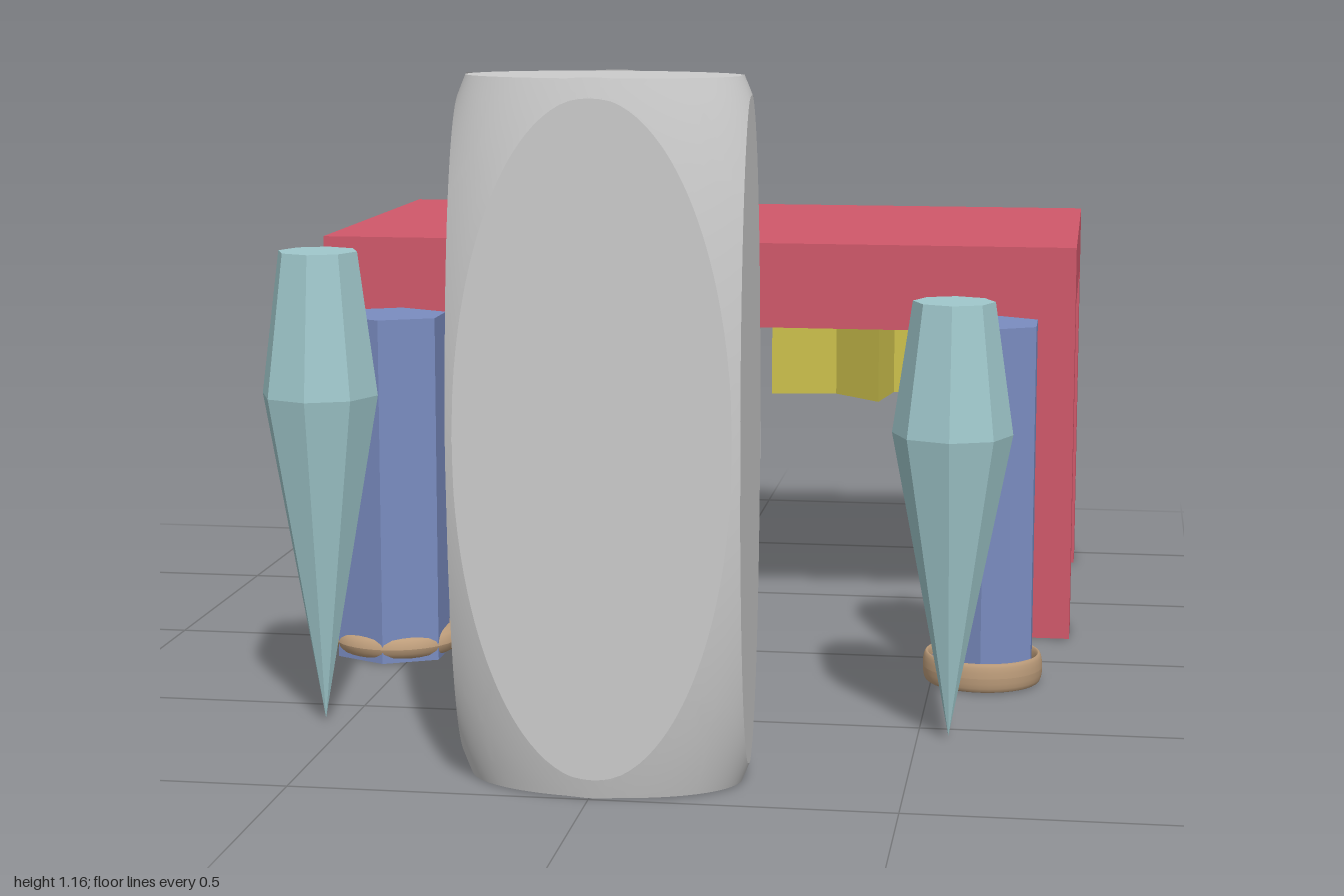
import * as THREE from 'three';
import { toCreasedNormals } from 'three/addons/utils/BufferGeometryUtils.js';

const mat = (color, flatShading = true) => new THREE.MeshStandardMaterial({ color, flatShading });
const RED = mat(0xd0586a), BLUE = mat(0x7a8cc0), TEAL = mat(0xa0c8cc), YELLOW = mat(0xccc04c);
const BROWN = mat(0xbc9c7a, false), GREY = mat(0xcccccc, false);

function add(parent, name, geometry, material, x = 0, y = 0, z = 0) {
  const mesh = new THREE.Mesh(geometry, material);
  mesh.name = name;
  mesh.position.set(x, y, z);
  parent.add(mesh);
  return mesh;
}

// Sphere clipped by a cube: six flat discs joined by a rounded skin, then stretched
function stoneGeometry(sx, sy, sz) {
  const RHO = 1.38, DISC = Math.sqrt(RHO * RHO - 1), RIM = 14 / 16;
  const geo = new THREE.BoxGeometry(2, 2, 2, 32, 32, 32);
  const pos = geo.attributes.position, nor = geo.attributes.normal;
  const p = new THREE.Vector3(), n = new THREE.Vector3(), flat = new THREE.Vector3();
  for (let i = 0; i < pos.count; i++) {
    p.fromBufferAttribute(pos, i);
    n.fromBufferAttribute(nor, i);
    flat.copy(p).sub(n); // offset inside the face
    const m = Math.max(Math.abs(flat.x), Math.abs(flat.y), Math.abs(flat.z));
    if (m > 1e-6) {
      flat.setLength(DISC * Math.min(1, m / RIM)).add(n);
      if (m > RIM + 1e-4) {
        p.setLength(RHO);
        flat.lerp(p, (m - RIM) / (1 - RIM)).setLength(RHO);
      }
    } else flat.copy(n);
    pos.setXYZ(i, flat.x, flat.y, flat.z);
  }
  return toCreasedNormals(geo, 0.4).scale(sx, sy, sz);
}

// Ring with an elliptical section
function ringGeometry(radius, halfWidth, halfHeight) {
  const pts = [];
  for (let i = 0; i <= 16; i++) {
    const a = (i / 16) * Math.PI * 2;
    pts.push(new THREE.Vector2(radius + halfWidth * Math.cos(a), halfHeight * Math.sin(a)));
  }
  return new THREE.LatheGeometry(pts, 40);
}

// Eight-sided spike standing on its tip
function crystalGeometry(mid, top) {
  const pts = [[0, 0.005], [0.103, mid], [0.07, top], [0, top]];
  return new THREE.LatheGeometry(pts.map(([r, y]) => new THREE.Vector2(r, y)), 8);
}

function starGeometry(outer, inner, depth) {
  const shape = new THREE.Shape();
  for (let i = 0; i < 10; i++) {
    const r = i % 2 ? inner : outer, a = (i * Math.PI) / 5;
    if (i) shape.lineTo(r * Math.cos(a), r * Math.sin(a));
    else shape.moveTo(r, 0);
  }
  shape.closePath();
  return new THREE.ExtrudeGeometry(shape, { depth, bevelEnabled: false }).rotateX(Math.PI / 2);
}

export function createModel() {
  const model = new THREE.Group();
  model.name = 'tableAndStones';

  // Table: slab, long aprons and four legs
  const table = new THREE.Group();
  table.name = 'table';
  table.position.z = -0.59;
  model.add(table);
  add(table, 'tableTop', new THREE.BoxGeometry(1.5, 0.123, 0.82), RED, 0, 0.7135, 0);
  for (const s of [-1, 1]) {
    add(table, 'apron', new THREE.BoxGeometry(1.28, 0.044, 0.115), RED, 0, 0.63, s * 0.3525);
    for (const t of [-1, 1])
      add(table, 'leg', new THREE.BoxGeometry(0.11, 0.652, 0.115), RED, t * 0.695, 0.326, s * 0.3525);
  }

  // Star block hanging under the table
  add(model, 'starBlock', starGeometry(0.2, 0.103, 0.207), YELLOW, 0.298, 0.652, -0.49);

  // Hexagonal columns with rings at the foot
  const rightColumn = add(model, 'rightColumn', new THREE.CylinderGeometry(0.096, 0.096, 0.66, 6), BLUE, -0.54, 0.33, 0.115);
  rightColumn.scale.x = 1.18;
  add(model, 'rightRing', ringGeometry(0.097, 0.027, 0.024), BROWN, -0.54, 0.027, 0.088);
  add(model, 'leftColumn', new THREE.CylinderGeometry(0.104, 0.104, 0.67, 6), BLUE, 0.594, 0.335, 0.142);
  add(model, 'leftRing', ringGeometry(0.104, 0.007, 0.027), BROWN, 0.594, 0.027, 0.15);

  // Crystals
  add(model, 'rightCrystal', crystalGeometry(0.585, 0.835), TEAL, -0.54, 0, 0.614);
  add(model, 'leftCrystal', crystalGeometry(0.535, 0.762), TEAL, 0.554, 0, 0.567);

  // Standing stone
  add(model, 'standingStone', stoneGeometry(0.237, 0.577, 0.139), GREY, 0.007, 0.577, 0.861);
  return model;
}
